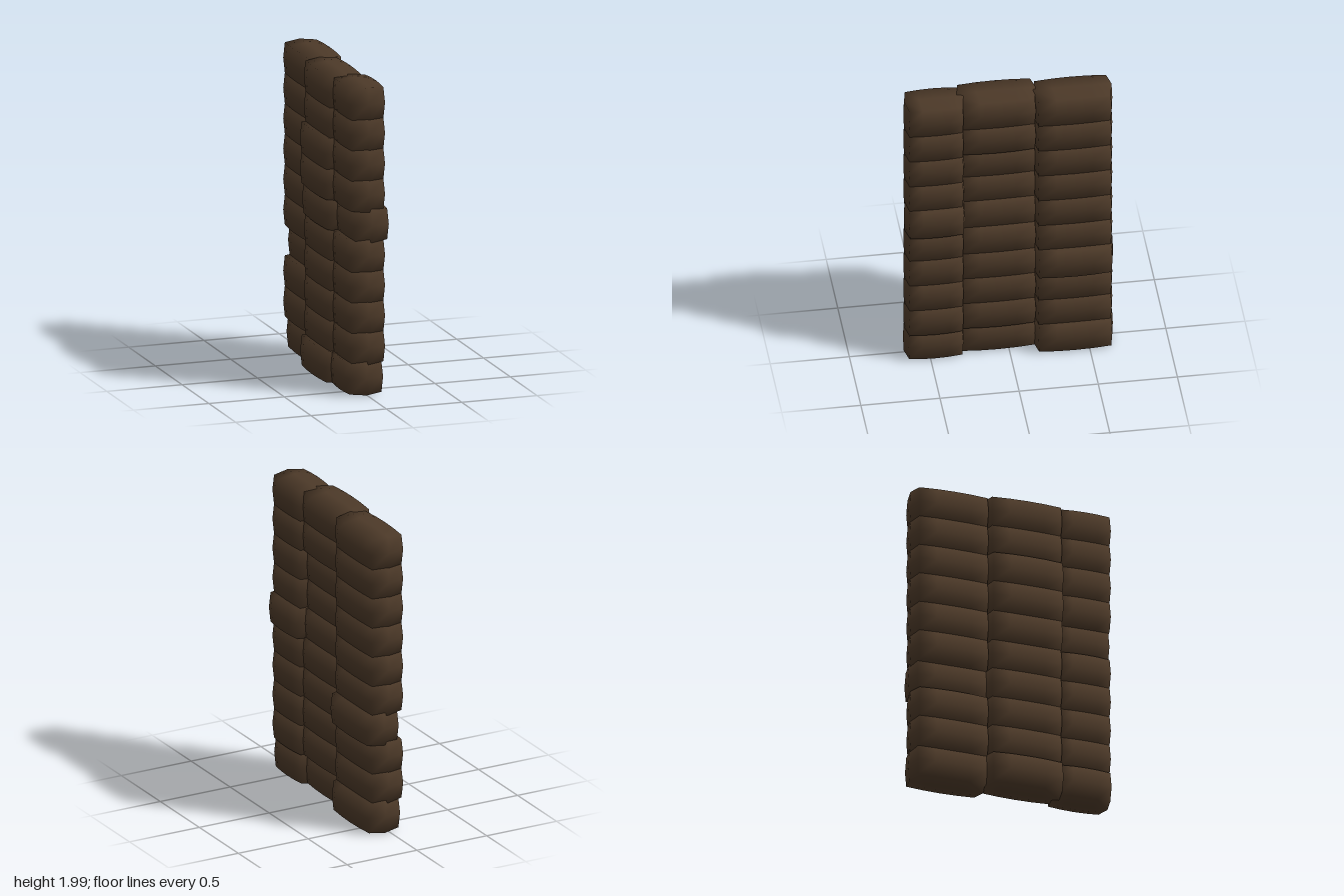
import * as THREE from 'three';
import { mergeVertices } from 'three/addons/utils/BufferGeometryUtils.js';

const ROWS = 10, PITCH = 0.1965, BASE = 0.02;
const HALF_X = 0.105, HALF_Y = PITCH / 2;

// Pillow-shaped brick: a box whose faces swell towards their middles
function brickGeometry(halfZ) {
  const g = new THREE.BoxGeometry(2, 2, 2, 2, 2, 4);
  g.deleteAttribute('uv');
  g.deleteAttribute('normal');
  const brick = mergeVertices(g);
  const p = brick.attributes.position;
  for (let i = 0; i < p.count; i++) {
    const u = p.getX(i), v = p.getY(i), w = p.getZ(i);
    const cu = 1 - u * u, cv = 1 - v * v, cw = 1 - w * w;
    p.setXYZ(i,
      u * (HALF_X + 0.009 * cv + 0.009 * cw),
      v * (HALF_Y + 0.010 * cu + 0.004 * cw),
      w * (halfZ + 0.020 * cu + 0.005 * cv));
  }
  brick.computeVertexNormals();
  return brick;
}

// Columns along z, with the usual sideways offset and the rows that are pushed out
const COLUMNS = [
  { name: 'front', z: 0.4675, halfZ: 0.1675, x: 0.005, shifted: { 0: -0.008, 5: 0.03 } },
  { name: 'middle', z: 0.07, halfZ: 0.23, x: -0.02, shifted: { 0: -0.044, 5: -0.032, 6: -0.046, 7: -0.046 } },
  { name: 'back', z: -0.4075, halfZ: 0.2275, x: 0.012, shifted: { 0: 0.034, 3: 0.044 } },
];

export function createModel() {
  const brown = new THREE.MeshStandardMaterial({ color: 0x4c3928 });
  brown.name = 'darkBrown';

  const wall = new THREE.Group();
  wall.name = 'brickWall';
  for (const col of COLUMNS) {
    const column = new THREE.Group();
    column.name = col.name + 'Column';
    const geometry = brickGeometry(col.halfZ);
    for (let r = 0; r < ROWS; r++) {
      const brick = new THREE.Mesh(geometry, brown);
      brick.name = 'brick';
      brick.position.set(col.shifted[r] ?? col.x, BASE + (r + 0.5) * PITCH, col.z);
      column.add(brick);
    }
    wall.add(column);
  }
  return wall;
}
